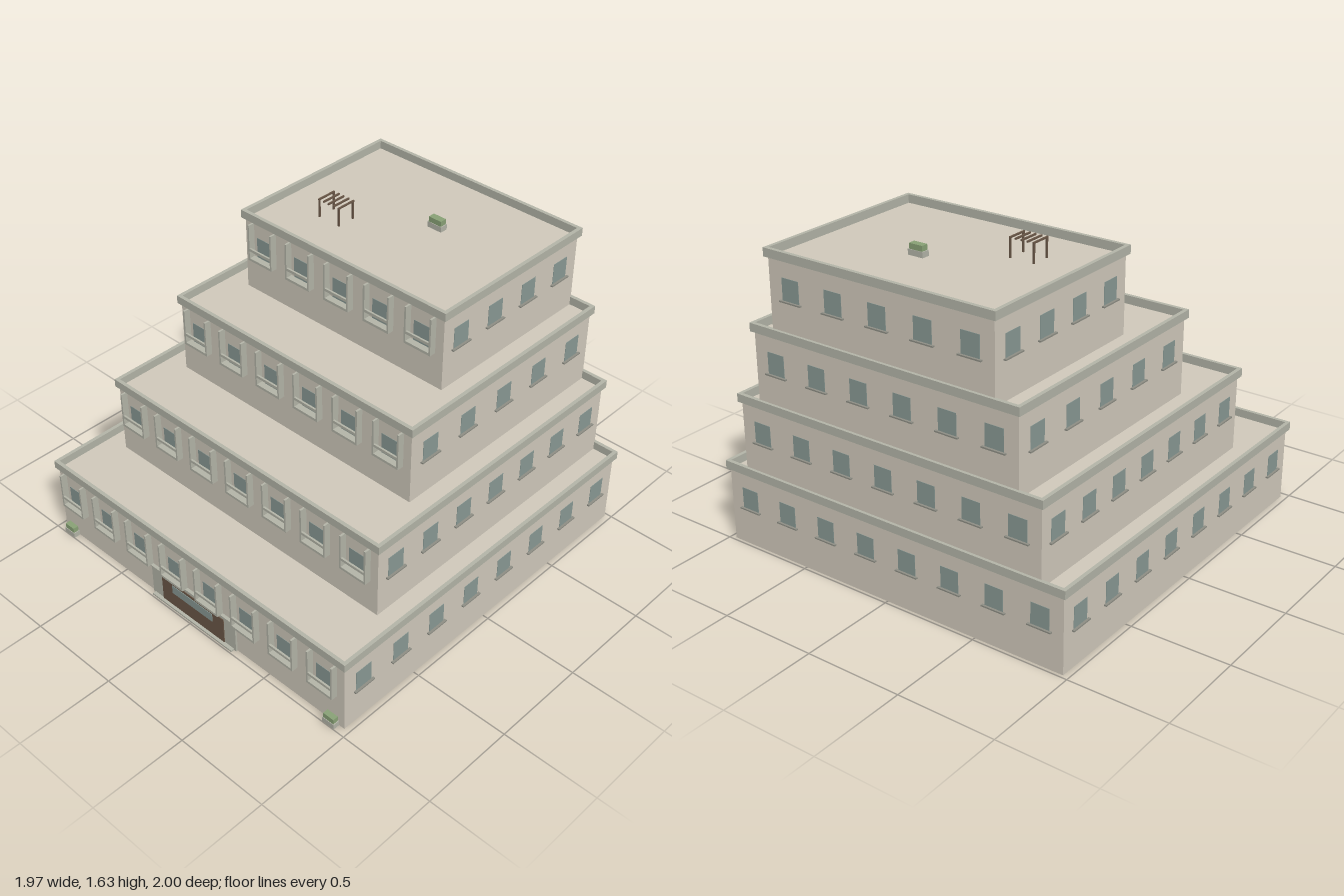
import * as THREE from 'three';

const mat = (color) => new THREE.MeshStandardMaterial({ color });
const WALL = mat(0xd2cbbd), TRIM = mat(0xb5b6a9), GLASS = mat(0x8a9a95);
const WOOD = mat(0x6b5848), GREEN = mat(0x8aa377), SILL = mat(0x8f8f86);

const STOREY = 0.382, BACK = -0.983;
// Half width, front z, windows across the front and back, windows along each side
const TIERS = [
  [0.97, 0.963, 8, 8],
  [0.855, 0.631, 7, 7],
  [0.738, 0.299, 6, 5],
  [0.62, -0.032, 5, 4],
];

// Box given by its lower and upper bounds on each axis
function box(parent, name, material, [x0, x1], [y0, y1], [z0, z1]) {
  const m = new THREE.Mesh(new THREE.BoxGeometry(x1 - x0, y1 - y0, z1 - z0), material);
  m.position.set((x0 + x1) / 2, (y0 + y1) / 2, (z0 + z1) / 2);
  m.name = name;
  parent.add(m);
  return m;
}

// Window with its sill, facing +z from the wall plane z = 0
function makeWindow(withSill) {
  const g = new THREE.Group();
  g.name = 'window';
  box(g, 'glass', GLASS, [-0.049, 0.049], [0.193, 0.3], [-0.004, 0.002]);
  if (withSill) box(g, 'sill', SILL, [-0.062, 0.062], [0.186, 0.193], [-0.004, 0.013]);
  return g;
}

// Balcony: two side fins, a floor slab and an open front rail
function makeBalcony() {
  const g = new THREE.Group();
  g.name = 'balcony';
  for (const s of [-1, 1]) {
    const x = s * 0.073;
    box(g, 'sideFin', TRIM, [x - 0.005, x + 0.005], [0.18, 0.373], [0, 0.035]);
  }
  box(g, 'balconyFloor', TRIM, [-0.078, 0.078], [0.18, 0.193], [0, 0.035]);
  box(g, 'rail', TRIM, [-0.07, 0.07], [0.232, 0.246], [0.025, 0.035]);
  return g;
}

// Row of n parts spread over a wall of the given length
function addRow(parent, n, length, make, place) {
  for (let i = 0; i < n; i++) {
    const part = make();
    place(part, ((i + 0.5) / n - 0.5) * length);
    parent.add(part);
  }
}

// Low planter box with a clipped bush
function makePlanter(w, d) {
  const g = new THREE.Group();
  g.name = 'planter';
  box(g, 'planterBox', TRIM, [-w / 2, w / 2], [0, 0.028], [-d / 2, d / 2]);
  box(g, 'bush', GREEN, [-w / 2 + 0.005, w / 2 - 0.005], [0.028, 0.055], [-d / 2 + 0.003, d / 2 - 0.003]);
  return g;
}

function makeTier([hw, front, nFront, nSide], level) {
  const g = new THREE.Group();
  g.name = 'tier' + (level + 1);
  g.position.y = level * STOREY;
  const depth = front - BACK, zMid = (front + BACK) / 2;
  box(g, 'walls', WALL, [-hw, hw], [0, STOREY], [BACK, front]);

  // Parapet ring overhanging the wall
  const o = 0.015, inner = 0.004, py = [STOREY, 0.424];
  box(g, 'parapetFront', TRIM, [-hw - o, hw + o], py, [front - inner, front + o]);
  box(g, 'parapetBack', TRIM, [-hw - o, hw + o], py, [BACK - o, BACK + inner]);
  box(g, 'parapetLeft', TRIM, [hw - inner, hw + o], py, [BACK + inner, front - inner]);
  box(g, 'parapetRight', TRIM, [-hw - o, -hw + inner], py, [BACK + inner, front - inner]);

  // Front windows with balconies, plain windows elsewhere
  addRow(g, nFront, hw * 2, () => makeWindow(false), (p, t) => p.position.set(t, 0, front));
  addRow(g, nFront, hw * 2, makeBalcony, (p, t) => p.position.set(t, 0, front));
  addRow(g, nFront, hw * 2, () => makeWindow(true), (p, t) => {
    p.position.set(t, 0, BACK);
    p.rotation.y = Math.PI;
  });
  for (const s of [-1, 1]) {
    addRow(g, nSide, depth, () => makeWindow(true), (p, t) => {
      p.position.set(s * hw, 0, zMid + t);
      p.rotation.y = s * Math.PI / 2;
    });
  }
  return g;
}

function makeEntrance(z) {
  const g = new THREE.Group();
  g.name = 'entrance';
  g.position.z = z;
  box(g, 'surround', TRIM, [-0.288, 0.288], [0, 0.175], [-0.01, 0.01]);
  box(g, 'door', WOOD, [-0.213, 0.213], [0.01, 0.155], [0, 0.014]);
  box(g, 'doorGlass', GLASS, [-0.138, 0.138], [0.095, 0.142], [0, 0.017]);
  box(g, 'canopy', TRIM, [-0.35, 0.35], [0.174, 0.181], [-0.01, 0.017]);
  box(g, 'step', TRIM, [-0.275, 0.275], [0, 0.009], [0, 0.029]);
  return g;
}

// Rooftop pergola: four posts carrying slats that run front to back
function makePergola() {
  const g = new THREE.Group();
  g.name = 'pergola';
  const y0 = STOREY * 4;
  for (let i = 0; i < 5; i++) {
    const x = -0.37 + i * 0.0315;
    box(g, 'slat', WOOD, [x - 0.004, x + 0.004], [1.619, 1.627], [-0.38, -0.272]);
  }
  for (const x of [-0.37, -0.244]) for (const z of [-0.374, -0.278]) {
    box(g, 'post', WOOD, [x - 0.004, x + 0.004], [y0, 1.619], [z - 0.004, z + 0.004]);
  }
  return g;
}

export function createModel() {
  const model = new THREE.Group();
  model.name = 'terracedBuilding';
  TIERS.forEach((t, i) => model.add(makeTier(t, i)));
  model.add(makeEntrance(TIERS[0][1]), makePergola());

  // Planters beside the entrance front and on the roof
  for (const s of [-1, 1]) {
    const p = makePlanter(0.072, 0.035);
    p.position.set(s * 0.903, 0, 0.981);
    model.add(p);
  }
  const roofPlanter = makePlanter(0.084, 0.042);
  roofPlanter.position.set(0.1, STOREY * 4, -0.585);
  model.add(roofPlanter);
  return model;
}
